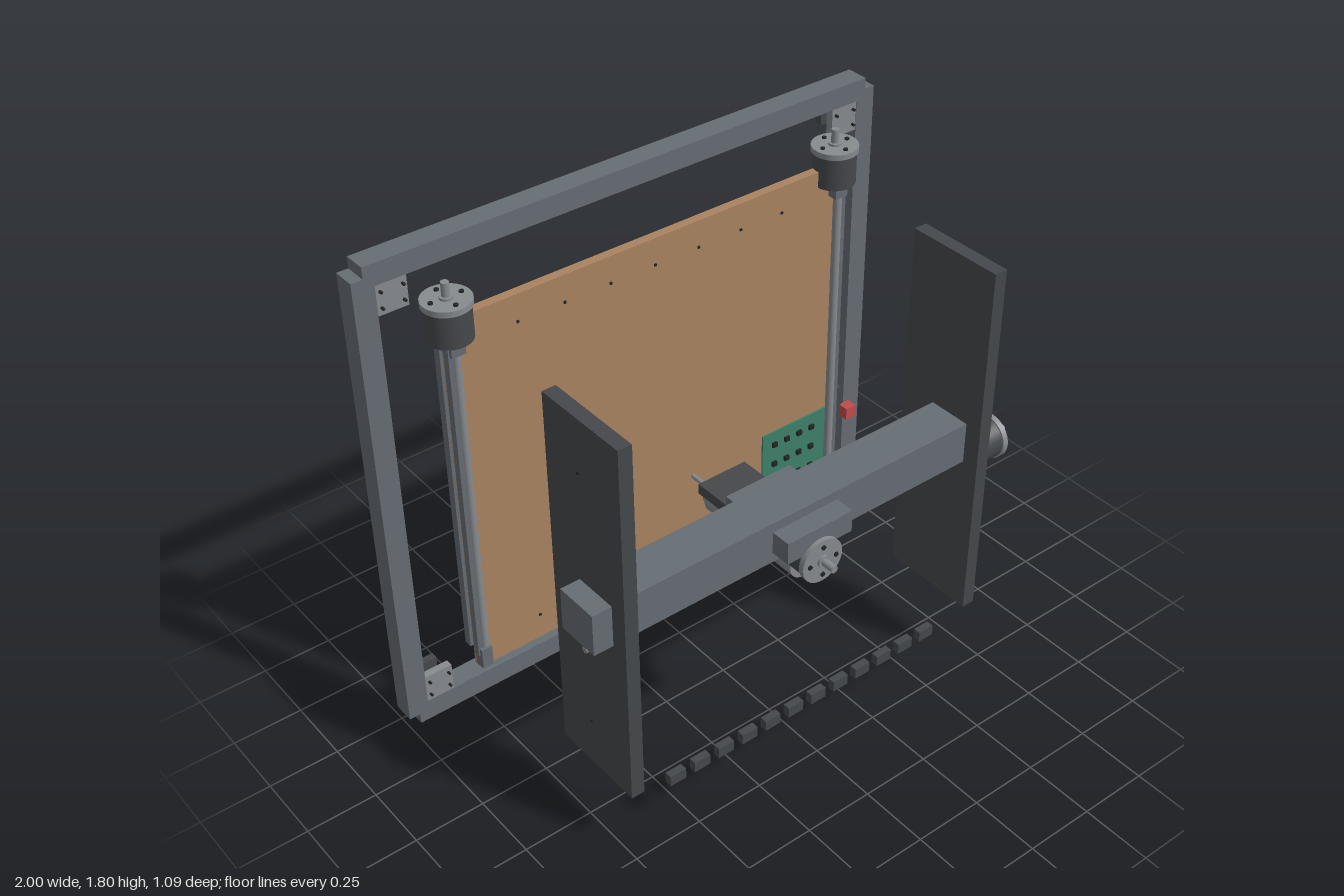
import * as THREE from 'three';

const mat = (color) => new THREE.MeshStandardMaterial({ color });

export function createModel() {
  const model = new THREE.Group();
  const steel = mat(0x666d74), dark = mat(0x45484c), light = mat(0x868b8f);
  const wood = mat(0xa98360), green = mat(0x3f806a), red = mat(0xc04c4c), black = mat(0x222426);

  // Box given by its extents on each axis
  function box(name, [x0, x1], [y0, y1], [z0, z1], material, parent = model) {
    const m = new THREE.Mesh(new THREE.BoxGeometry(x1 - x0, y1 - y0, z1 - z0), material);
    m.position.set((x0 + x1) / 2, (y0 + y1) / 2, (z0 + z1) / 2);
    m.name = name;
    parent.add(m);
    return m;
  }
  // Box extents mirrored to the side s (+1 or -1)
  const side = (s, a, b) => (s > 0 ? [a, b] : [-b, -a]);

  // Upright cylinder between two heights
  function rod(name, r, y0, y1, material, parent, x = 0, z = 0) {
    const m = new THREE.Mesh(new THREE.CylinderGeometry(r, r, y1 - y0, 32), material);
    m.position.set(x, (y0 + y1) / 2, z);
    m.name = name;
    parent.add(m);
    return m;
  }

  // Stepper motor: base at the origin, shaft along +y
  function motor(name, bodyLength) {
    const g = new THREE.Group();
    g.name = name;
    rod('motorBody', 0.074, 0, bodyLength, dark, g);
    rod('motorFlange', 0.08, bodyLength, bodyLength + 0.02, light, g);
    rod('motorBoss', 0.022, bodyLength + 0.02, bodyLength + 0.028, light, g);
    rod('motorShaft', 0.013, bodyLength + 0.02, bodyLength + 0.075, light, g);
    for (let i = 0; i < 4; i++) {
      const a = (i * Math.PI) / 2;
      rod('motorBolt', 0.008, bodyLength + 0.02, bodyLength + 0.025, black, g,
        0.053 * Math.cos(a), 0.053 * Math.sin(a));
    }
    model.add(g);
    return g;
  }

  // Outer frame with corner gussets, bolts and rear feet
  const frameZ = [-0.52, -0.44];
  box('topRail', [-0.96, 0.96], [1.725, 1.8], frameZ, steel);
  box('bottomRail', [-0.96, 0.96], [0, 0.08], frameZ, steel);
  for (const s of [-1, 1]) {
    box('framePost', side(s, 0.925, 1), [0.04, 1.76], frameZ, steel);
    for (const [g0, g1, f0, f1] of [[0.08, 0.185, 0.06, 0.175], [1.62, 1.725, 1.635, 1.745]]) {
      box('cornerGusset', side(s, 0.82, 0.925), [g0, g1], [-0.47, -0.442], light);
      box('rearFoot', side(s, 0.835, 0.945), [f0, f1], [-0.542, -0.515], dark);
      for (const bx of [0.835, 0.91]) {
        for (const by of [g0 + 0.025, g1 - 0.025]) {
          const b = rod('gussetBolt', 0.005, 0, 0.012, black, model, s * bx);
          b.rotation.x = Math.PI / 2;
          b.position.set(s * bx, by, -0.437);
        }
      }
    }
  }

  // Wooden bed with its backing panel, standoffs and edge screws
  box('bed', [-0.765, 0.765], [0.215, 1.585], [-0.375, -0.342], wood);
  box('backPanel', [-0.77, 0.77], [0.28, 1.52], [-0.418, -0.387], steel);
  for (const s of [-1, 1]) {
    for (let i = 0; i < 9; i++) {
      box('standoff', side(s, 0.74, 0.76), [0.36 + i * 0.135, 0.38 + i * 0.135], [-0.39, -0.37], light);
    }
  }
  for (const y of [0.315, 1.49]) {
    for (let i = -3; i <= 3; i++) {
      box('bedScrew', [i * 0.173 - 0.004, i * 0.173 + 0.004], [y - 0.004, y + 0.004], [-0.345, -0.337], black);
    }
  }

  // Electronics: power supply, control box, circuit board, switch
  box('powerSupply', [0.4, 0.825], [1.18, 1.383], [-0.442, -0.375], steel);
  box('controlBox', [0.4, 0.825], [0.285, 0.66], [-0.437, -0.345], dark);
  box('circuitBoard', [0.45, 0.772], [0.335, 0.61], [-0.346, -0.336], green);
  for (let i = 0; i < 4; i++) {
    for (let j = 0; j < 3; j++) {
      const x = 0.502 + i * 0.057, y = 0.387 + j * 0.085;
      box('chip', [x - 0.01, x + 0.01], [y - 0.009, y + 0.009], [-0.338, -0.326], black);
    }
  }
  box('stopSwitch', [0.82, 0.865], [0.535, 0.582], [-0.348, -0.307], red);

  // Vertical drives on both edges of the bed
  for (const s of [-1, 1]) {
    motor('verticalMotor', 0.115).position.set(s * 0.75, 1.527, -0.348);
    rod('verticalScrew', 0.015, 0.25, 1.53, light, model, s * 0.75, -0.325);
    box('verticalRail', side(s, 0.762, 0.78), [0.29, 1.52], [-0.345, -0.318], steel);
    box('lowerBearing', side(s, 0.735, 0.775), [0.24, 0.32], [-0.345, -0.305], steel);
    box('upperBearing', side(s, 0.725, 0.775), [1.48, 1.53], [-0.36, -0.305], steel);
  }

  // Gantry: side plates, cross beam, drive screw and motor
  for (const s of [-1, 1]) {
    box('sidePlate', side(s, 0.687, 0.735), [0.235, 1.575], [0.108, 0.465], dark);
    for (const y of [0.42, 1.385]) {
      box('plateBolt', side(s, 0.73, 0.74), [y - 0.004, y + 0.004], [0.266, 0.274], black);
    }
  }
  box('crossBeam', [-0.805, 0.805], [0.828, 0.98], [0.245, 0.403], steel);
  const screw = rod('crossScrew', 0.012, -0.77, 0.8, light, model);
  screw.rotation.z = Math.PI / 2;
  screw.position.set(0, 0.785, 0.325);
  const crossMotor = motor('crossMotor', 0.09);
  crossMotor.rotation.z = -Math.PI / 2;
  crossMotor.position.set(0.785, 0.802, 0.327);

  // Carriage with front motor
  box('carriage', [-0.13, 0.13], [0.865, 0.945], [0.175, 0.475], steel);
  const feedMotor = motor('feedMotor', 0.07);
  feedMotor.rotation.x = Math.PI / 2;
  feedMotor.position.set(0, 0.822, 0.4);

  // Spindle pointing to the bed, stepped down to the cutter
  box('spindleMount', [-0.095, 0.095], [0.828, 0.866], [-0.008, 0.18], dark);
  const profile = [[0, 0], [0.058, 0], [0.058, 0.43], [0.045, 0.43], [0.045, 0.455], [0.03, 0.455],
    [0.03, 0.488], [0.018, 0.488], [0.018, 0.5], [0.008, 0.5], [0.008, 0.565], [0, 0.565]];
  // Doubled points keep the steps crisp
  const points = profile.flatMap(([r, h]) => [new THREE.Vector2(r, h), new THREE.Vector2(r, h)]);
  const spindleGeometry = new THREE.LatheGeometry(points, 32).toNonIndexed();
  spindleGeometry.computeVertexNormals();
  const spindle = new THREE.Mesh(spindleGeometry, light);
  spindle.name = 'spindle';
  spindle.rotation.x = -Math.PI / 2;
  spindle.position.set(0, 0.763, 0.405);
  model.add(spindle);

  // Row of small cable chain links below the gantry
  for (let i = 0; i < 12; i++) {
    const x = (i - 5.5) * 0.0977;
    box('chainLink', [x - 0.031, x + 0.031], [0.16, 0.2], [0.416, 0.443], dark);
  }

  return model;
}
